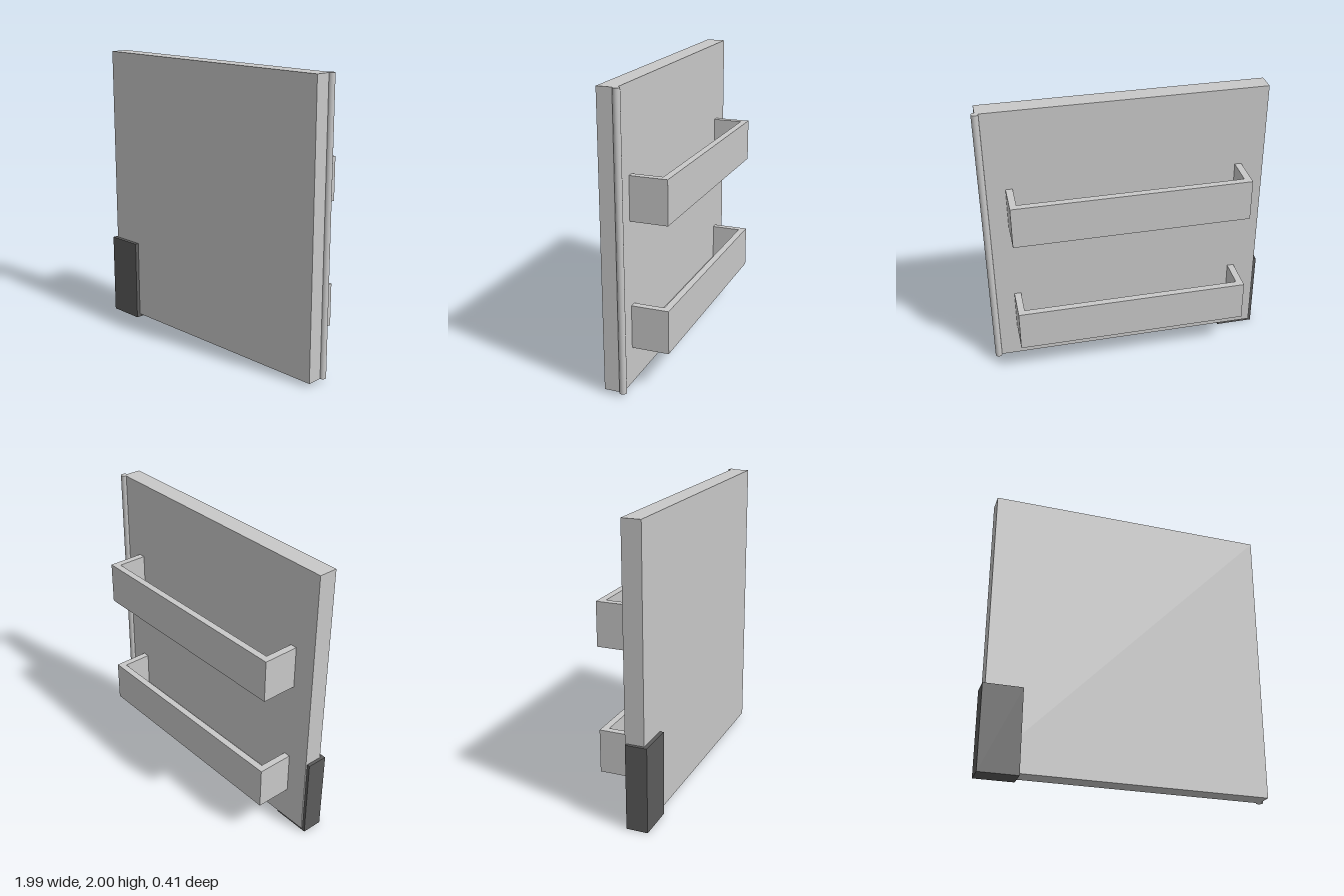
import * as THREE from 'three';

export function createModel() {
  const model = new THREE.Group();
  model.name = 'doorWithShelves';

  const paleGrey = new THREE.MeshStandardMaterial({ color: 0xc8c8c8 });
  paleGrey.name = 'paleGrey';
  const darkGrey = new THREE.MeshStandardMaterial({ color: 0x5b5b5b });
  darkGrey.name = 'darkGrey';

  // Box given by its lower and upper limits on each axis
  function box(name, material, [x0, x1], [y0, y1], [z0, z1], parent = model) {
    const mesh = new THREE.Mesh(new THREE.BoxGeometry(x1 - x0, y1 - y0, z1 - z0), material);
    mesh.position.set((x0 + x1) / 2, (y0 + y1) / 2, (z0 + z1) / 2);
    mesh.name = name;
    parent.add(mesh);
    return mesh;
  }

  const bottom = 0.022, top = 2;
  const left = -0.972, right = 0.968;
  const back = 0.048, front = 0.178;

  // Door slab
  box('doorPanel', paleGrey, [left, right], [bottom, top], [back, front]);

  // Round hinge rod along the rear edge
  const hinge = new THREE.Mesh(new THREE.CylinderGeometry(0.024, 0.024, top - bottom, 24), paleGrey);
  hinge.position.set(right, (top + bottom) / 2, back);
  hinge.name = 'hingeRod';
  model.add(hinge);

  // Open-topped shelf bins on the back of the door
  const binX = 0.816, binBack = -0.206, wall = 0.047;
  for (const [name, y0] of [['lowerBin', 0.27], ['upperBin', 1.135]]) {
    const bin = new THREE.Group();
    bin.name = name;
    const y = [y0, y0 + 0.296];
    box('binBackWall', paleGrey, [-binX, binX], y, [binBack, binBack + wall], bin);
    for (const s of [-1, 1]) {
      const x = [s * binX, s * (binX - wall)].sort((a, b) => a - b);
      box('binSideWall', paleGrey, x, y, [binBack + wall, back], bin);
    }
    box('binFloor', paleGrey, [wall - binX, binX - wall], [y0, y0 + wall], [binBack + wall, back], bin);
    model.add(bin);
  }

  // Dark corner guard wrapping the front, side and underside
  const guard = new THREE.Group();
  guard.name = 'cornerGuard';
  const gx = [-0.994, -0.727], gTop = 0.585, gz = [0.058, 0.205];
  box('guardFront', darkGrey, gx, [0, gTop], [front, gz[1]], guard);
  box('guardSide', darkGrey, [gx[0], left], [0, gTop], [gz[0], front], guard);
  box('guardBase', darkGrey, [left, gx[1]], [0, bottom], [gz[0], front], guard);
  model.add(guard);

  return model;
}
